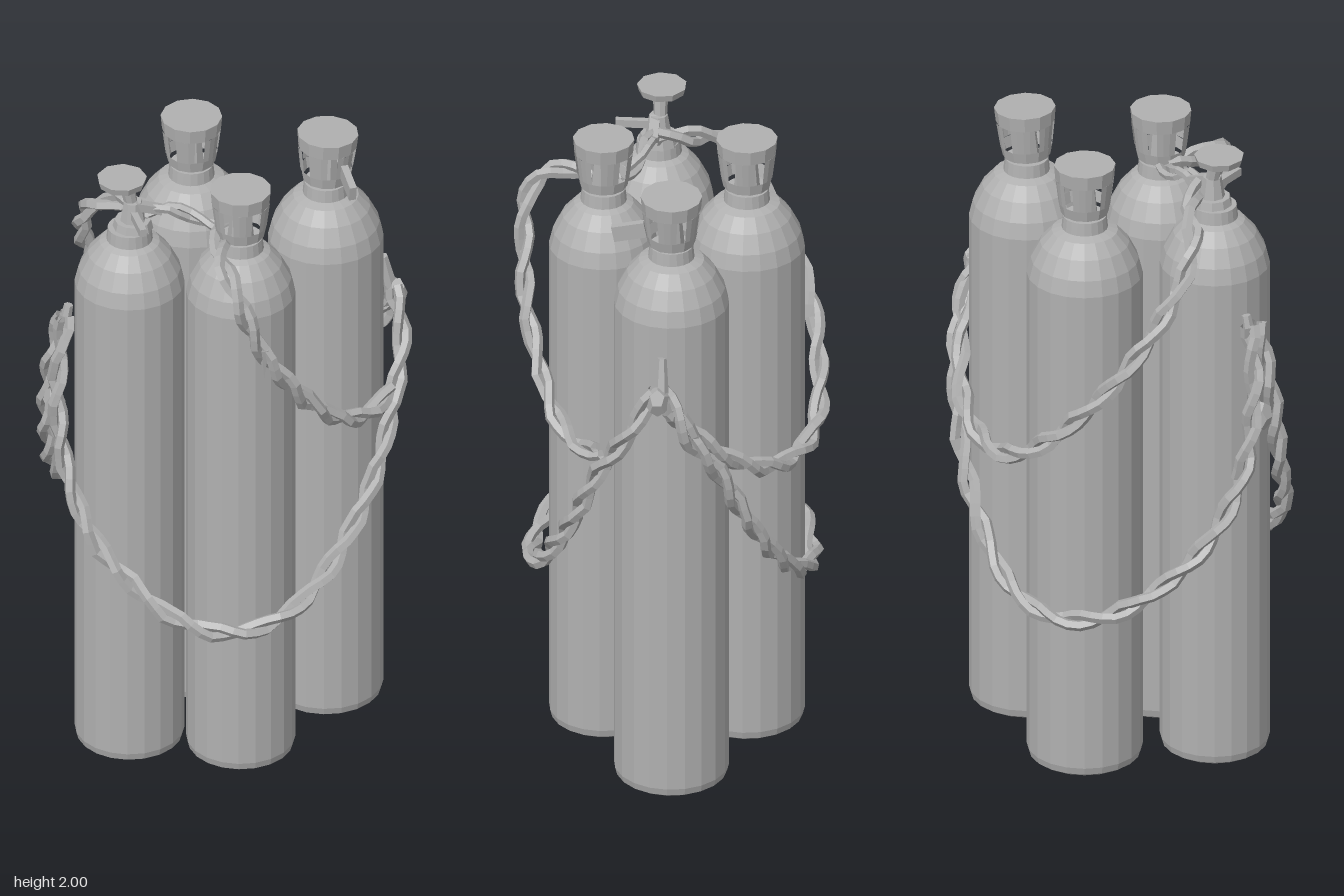
import * as THREE from 'three';

const steel = new THREE.MeshStandardMaterial({ color: 0xb0b0b0, flatShading: true, side: THREE.DoubleSide });
steel.name = 'grey steel';

let seed = 7;
const rand = () => (seed = (seed * 16807) % 2147483647) / 2147483647;
const vec = (p) => new THREE.Vector3(...p);

function add(parent, geometry, name, x = 0, y = 0, z = 0) {
  const m = new THREE.Mesh(geometry, steel);
  m.name = name;
  m.position.set(x, y, z);
  parent.add(m);
  return m;
}

// Round bottle with a bevelled foot, domed shoulder and neck
function bottle(name, x, z, r) {
  const g = new THREE.Group();
  g.name = name;
  g.position.set(x, 0, z);
  const profile = [[0, 0], [r - 0.025, 0], [r - 0.006, 0.012], [r, 0.035], [r, 1.63], [r - 0.012, 1.68],
    [r - 0.04, 1.735], [r - 0.075, 1.775], [0.07, 1.785], [0.066, 1.825], [0, 1.825]];
  add(g, new THREE.LatheGeometry(profile.map((p) => new THREE.Vector2(...p)), 20), 'tank');
  return g;
}

// Flared valve guard with windows between its posts
function guard(parent, turn, tilt) {
  const g = new THREE.Group();
  g.name = 'valveGuard';
  g.position.y = 1.835;
  g.rotation.set(0, turn, tilt);
  parent.add(g);
  const posts = 6, step = Math.PI * 2 / posts;
  add(g, new THREE.CylinderGeometry(0.079, 0.072, 0.035, 12, 1, true), 'guardFoot', 0, 0.0175);
  add(g, new THREE.CylinderGeometry(0.093, 0.089, 0.045, 12), 'guardTop', 0, 0.136);
  for (let i = 0; i < posts; i++) {
    add(g, new THREE.CylinderGeometry(0.089, 0.079, 0.08, 3, 1, true, i * step, step * 0.66), 'guardPost', 0, 0.075);
  }
  add(g, new THREE.CylinderGeometry(0.028, 0.04, 0.13, 8), 'valveStem', 0, 0.055);
}

// Two lumpy strands wound round each other along a path
function rope(parent, name, points, thick = 0.017) {
  const g = new THREE.Group();
  g.name = name;
  parent.add(g);
  const path = new THREE.CatmullRomCurve3(points.map(vec));
  const length = path.getLength();
  const n = Math.ceil(length / 0.035);
  const frames = path.computeFrenetFrames(n);
  for (let s = 0; s < 2; s++) {
    const strand = [];
    for (let i = 0; i <= n; i++) {
      const a = i * 0.75 + s * Math.PI;
      const d = thick * (0.7 + rand() * 0.45);
      strand.push(path.getPointAt(i / n)
        .addScaledVector(frames.normals[i], Math.cos(a) * d)
        .addScaledVector(frames.binormals[i], Math.sin(a) * d));
    }
    add(g, new THREE.TubeGeometry(new THREE.CatmullRomCurve3(strand), n, thick, 5), 'strand');
  }
}

export function createModel() {
  const model = new THREE.Group();
  model.name = 'gasBottles';

  // Three bottles with guarded valves
  const back = bottle('backBottle', -0.047, -0.23, 0.175);
  const front = bottle('frontBottle', -0.015, 0.2, 0.165);
  const left = bottle('leftBottle', 0.317, -0.03, 0.174);
  const right = bottle('rightBottle', -0.322, 0.057, 0.166);
  model.add(back, front, left, right);
  guard(back, 0.2, 0);
  guard(front, 0.5, 0);
  guard(left, 0.1, -0.04);
  const tap = add(left, new THREE.BoxGeometry(0.022, 0.05, 0.1), 'outlet', 0.035, 1.885, 0.125);
  tap.rotation.x = 0.2;

  // Open valve with a handwheel on the fourth bottle
  add(right, new THREE.CylinderGeometry(0.055, 0.062, 0.03, 10), 'collar', 0.01, 1.835, 0);
  add(right, new THREE.CylinderGeometry(0.028, 0.04, 0.07, 8), 'valveBody', 0.01, 1.88, 0);
  const stem = add(right, new THREE.CylinderGeometry(0.024, 0.02, 0.09, 8), 'valveStem', -0.002, 1.945, -0.005);
  stem.rotation.z = 0.2;
  add(right, new THREE.CylinderGeometry(0.076, 0.07, 0.022, 9), 'handwheel', -0.022, 1.988, -0.008);
  add(right, new THREE.BoxGeometry(0.02, 0.025, 0.12), 'outlet', 0.006, 1.88, 0.07);
  const arm = add(right, new THREE.BoxGeometry(0.09, 0.025, 0.03), 'sideArm', 0.055, 1.89, 0.01);
  arm.rotation.z = -0.35;

  // Large loop drooping at front and back, hung from both sides
  const droop = [[0.515, 1.43, 0.01], [0.525, 1.3, 0.07], [0.47, 1.13, 0.17], [0.37, 0.89, 0.265],
    [0.2, 0.67, 0.36], [0.05, 0.575, 0.41], [-0.1, 0.55, 0.415], [-0.25, 0.59, 0.37],
    [-0.38, 0.69, 0.28], [-0.48, 0.83, 0.19], [-0.53, 1.0, 0.1], [-0.545, 1.25, 0.04], [-0.51, 1.5, 0.01]];
  rope(model, 'frontLoop', droop);
  rope(model, 'backLoop', droop.map(([x, y, z]) => [x, y, -z - 0.01]));

  // Hose from the front valve, over the shoulder and down to the side
  rope(model, 'frontHose', [[-0.07, 1.83, 0.16], [-0.1, 1.83, 0.28], [-0.11, 1.82, 0.38], [-0.08, 1.73, 0.44],
    [-0.03, 1.59, 0.44], [0.05, 1.45, 0.43], [0.16, 1.3, 0.38], [0.28, 1.19, 0.32], [0.38, 1.155, 0.25],
    [0.46, 1.18, 0.18]]);
  add(model, new THREE.ConeGeometry(0.018, 0.11, 5), 'looseEnd', -0.01, 1.515, 0.44).rotation.x = Math.PI;

  // Hose from the handwheel valve, round the back to the side
  rope(model, 'backHose', [[-0.26, 1.87, 0.06], [-0.3, 1.85, -0.04], [-0.385, 1.79, -0.14], [-0.395, 1.68, -0.22],
    [-0.34, 1.5, -0.33], [-0.25, 1.35, -0.405], [-0.1, 1.18, -0.445], [0.06, 1.07, -0.445],
    [0.22, 1.04, -0.38], [0.36, 1.09, -0.29], [0.46, 1.2, -0.17], [0.525, 1.36, -0.05]]);
  rope(model, 'linkHose', [[-0.27, 1.87, 0.06], [-0.2, 1.885, 0.08], [-0.13, 1.85, 0.1], [-0.06, 1.83, 0.15]], 0.013);

  // Knots and hooks where the loop hangs
  for (const [s, x, y] of [[1, 0.53, 1.4], [-1, -0.54, 1.2]]) {
    const knot = add(model, new THREE.DodecahedronGeometry(0.038), 'knot', x, y, -0.005);
    knot.scale.set(0.9, 1.3, 1);
    const hook = add(model, new THREE.CylinderGeometry(0.014, 0.022, 0.11, 6), 'hook', s * 0.503, 1.475, -0.015);
    hook.rotation.z = s * 0.2;
  }
  return model;
}
